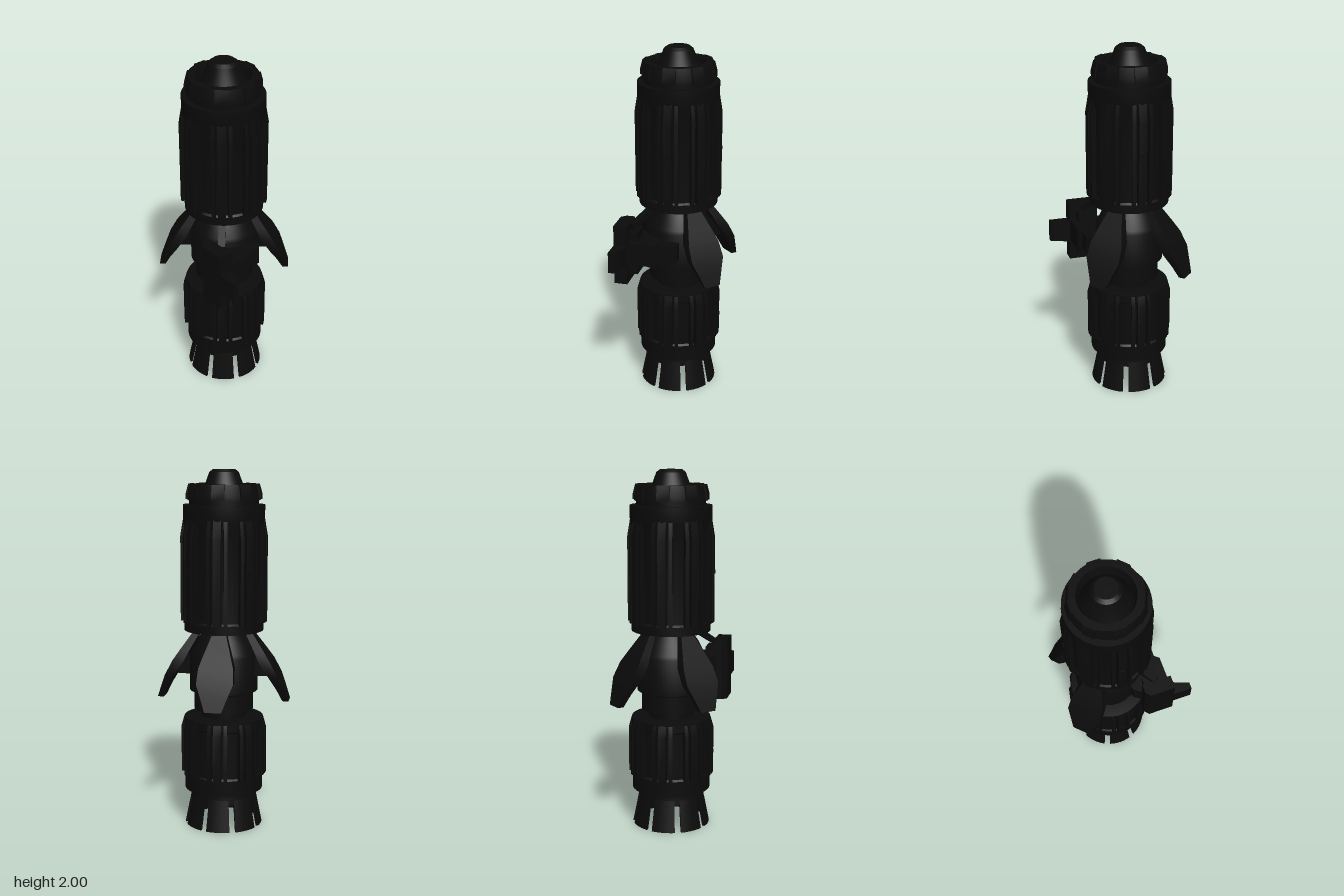
import * as THREE from 'three';
import { toCreasedNormals } from 'three/addons/utils/BufferGeometryUtils.js';

const black = new THREE.MeshStandardMaterial({ color: 0x0b0b0b, side: THREE.DoubleSide });
black.name = 'black';

function add(parent, name, geometry) {
  const mesh = new THREE.Mesh(toCreasedNormals(geometry, 0.5), black);
  mesh.name = name;
  parent.add(mesh);
  return mesh;
}

const points = (list) => list.map(([x, y]) => new THREE.Vector2(x, y));

function lathe(parent, name, profile) {
  return add(parent, name, new THREE.LatheGeometry(points(profile), 48));
}

// Plate with a radius/height outline, centred across its width, pointing along +x
function fin(parent, name, outline, width, offset = 0) {
  const geo = new THREE.ExtrudeGeometry(new THREE.Shape(points(outline)), { depth: width, bevelEnabled: false });
  geo.translate(0, 0, offset - width / 2);
  return add(parent, name, geo);
}

function box(parent, name, x0, x1, y0, y1, z0, z1) {
  const geo = new THREE.BoxGeometry(x1 - x0, y1 - y0, z1 - z0);
  geo.translate((x0 + x1) / 2, (y0 + y1) / 2, (z0 + z1) / 2);
  return add(parent, name, geo);
}

// Group turned about the main axis; +x of the group points outward
function spoke(parent, name, angle) {
  const group = new THREE.Group();
  group.name = name;
  group.rotation.y = angle;
  parent.add(group);
  return group;
}

// Four-sided loft through sections [y, outer radius, inner radius, half width]
function loft(sections) {
  const pos = [], index = [];
  sections.forEach(([y, ro, ri, t], i) => {
    pos.push(ro, y, t, ro, y, -t, ri, y, -t, ri, y, t);
    if (i === 0) return;
    const a = (i - 1) * 4, b = i * 4;
    for (let k = 0; k < 4; k++) {
      const n = (k + 1) % 4;
      index.push(a + k, b + k, b + n, a + k, b + n, a + n);
    }
  });
  const e = (sections.length - 1) * 4;
  index.push(0, 1, 2, 0, 2, 3, e, e + 2, e + 1, e, e + 3, e + 2);
  const geo = new THREE.BufferGeometry();
  geo.setAttribute('position', new THREE.Float32BufferAttribute(pos, 3));
  geo.setIndex(index);
  return geo;
}

function ribGroup(parent, y0, y1, y2) {
  const outline = [[0.19, y0], [0.24, y0], [0.24, y1], [0.223, y2], [0.19, y2]];
  fin(parent, 'wideRib', outline, 0.044);
  for (const s of [-1, 1]) {
    const holder = spoke(parent, 'narrowRibHolder', s * 0.2);
    fin(holder, 'narrowRib', outline, 0.02);
  }
}

export function createModel() {
  const model = new THREE.Group();
  model.name = 'thruster';
  const core = new THREE.Group();
  core.name = 'core';
  core.position.z = -0.052;
  model.add(core);

  // Main turned sections
  lathe(core, 'lowerBarrel', [[0, 0.15], [0.165, 0.15], [0.185, 0.15], [0.18, 0.21], [0.22, 0.21], [0.22, 0.3],
    [0.21, 0.31], [0.21, 0.57], [0.222, 0.58], [0.222, 0.625], [0.17, 0.63], [0, 0.63]]);
  lathe(core, 'neck', [[0.125, 0.6], [0.125, 0.7]]);
  lathe(core, 'middleDrum', [[0, 0.67], [0.165, 0.67], [0.165, 0.77], [0.19, 0.78], [0.19, 0.98], [0.18, 1.0],
    [0.15, 1.06], [0.12, 1.1], [0.12, 1.15]]);
  lathe(core, 'upperBarrel', [[0, 1.12], [0.22, 1.12], [0.22, 1.17], [0.21, 1.18], [0.21, 1.67], [0.225, 1.72],
    [0.225, 1.81], [0.19, 1.81], [0.19, 1.835]]);
  lathe(core, 'topRing', [[0.19, 1.835], [0.2, 1.835], [0.2, 1.86], [0.188, 1.92], [0.15, 1.92], [0.135, 1.86]]);
  lathe(core, 'topCone', [[0.135, 1.86], [0.1, 1.93], [0.08, 1.985], [0.06, 2], [0, 2]]);

  for (let i = 0; i < 8; i++) {
    const angle = i * Math.PI / 4;
    const side = spoke(core, 'barrelSide', angle);
    ribGroup(side, 0.3, 0.56, 0.62);
    ribGroup(side, 1.17, 1.64, 1.74);
    fin(side, 'topPad', [[0.17, 1.84], [0.206, 1.84], [0.206, 1.87], [0.192, 1.922], [0.17, 1.922]], 0.07);
    // Small bolts on the wide ribs
    if (i % 2 === 0) {
      for (const y of [0.43, 1.45]) box(side, 'bolt', 0.23, 0.245, y - 0.01, y + 0.01, -0.01, 0.01);
    }

    // Flared exhaust petals
    const half = 0.31;
    const section = [[0.182, 0.18], [0.218, 0], [0.204, 0], [0.168, 0.18], [0.182, 0.18]];
    const petal = spoke(core, 'exhaustPetal', angle);
    add(petal, 'petalShell', new THREE.LatheGeometry(points(section), 6, Math.PI / 2 - half, half * 2));
    for (const s of [-1, 1]) {
      const edge = add(petal, 'petalEdge', new THREE.ShapeGeometry(new THREE.Shape(points(section.slice(0, 4)))));
      edge.rotation.y = s * half;
    }
  }

  // Three drooping vanes on the diagonals
  const vane = [[1.11, 0.165, 0.125, 0.04], [1.01, 0.235, 0.18, 0.075], [0.95, 0.275, 0.21, 0.095],
    [0.87, 0.317, 0.265, 0.1], [0.8, 0.345, 0.305, 0.072], [0.73, 0.371, 0.337, 0.046]];
  for (const q of [1, 3, 7]) {
    const wing = spoke(core, 'vane', q * Math.PI / 4);
    add(wing, 'vaneBlade', loft(vane));
    box(wing, 'vaneRoot', 0.15, 0.25, 0.87, 0.98, -0.05, 0.05);
  }

  // Side bracket at the front right
  const mount = new THREE.Group();
  mount.name = 'sideBracket';
  model.add(mount);
  function slab(name, outline, y0, y1) {
    const geo = new THREE.ExtrudeGeometry(new THREE.Shape(points(outline)), { depth: y1 - y0, bevelEnabled: false });
    geo.rotateX(Math.PI / 2);
    geo.translate(0, y1, 0);
    add(mount, name, geo);
  }
  slab('bracketPlate', [[-0.295, 0.098], [-0.268, 0.073], [-0.22, 0.073], [-0.22, 0.24], [-0.295, 0.24]], 0.7, 1.045);
  slab('bracketNozzle', [[-0.295, 0.23], [-0.22, 0.23], [-0.22, 0.24], [-0.26, 0.345], [-0.295, 0.345]], 0.81, 0.93);
  slab('bracketArm', [[-0.23, 0.073], [-0.2, 0.03], [-0.1, 0], [-0.03, 0.11], [-0.05, 0.21], [-0.07, 0.235],
    [-0.23, 0.235]], 0.82, 0.95);
  slab('frontBlock', [[-0.06, 0.1], [0.05, 0.1], [0.05, 0.185], [0.025, 0.21], [-0.06, 0.21]], 0.84, 0.94);
  box(mount, 'bracketPad', -0.225, -0.17, 0.75, 1.0, 0.09, 0.2);

  // Struts tying the bracket to the core
  const struts = spoke(core, 'bracketStruts', -Math.PI * 3 / 4);
  fin(struts, 'upperStrut', [[0.14, 1.1], [0.3, 1.0], [0.3, 1.035], [0.16, 1.13]], 0.04);
  fin(struts, 'lowerStrut', [[0.14, 0.72], [0.31, 0.81], [0.31, 0.84], [0.14, 0.75]], 0.04);
  return model;
}
